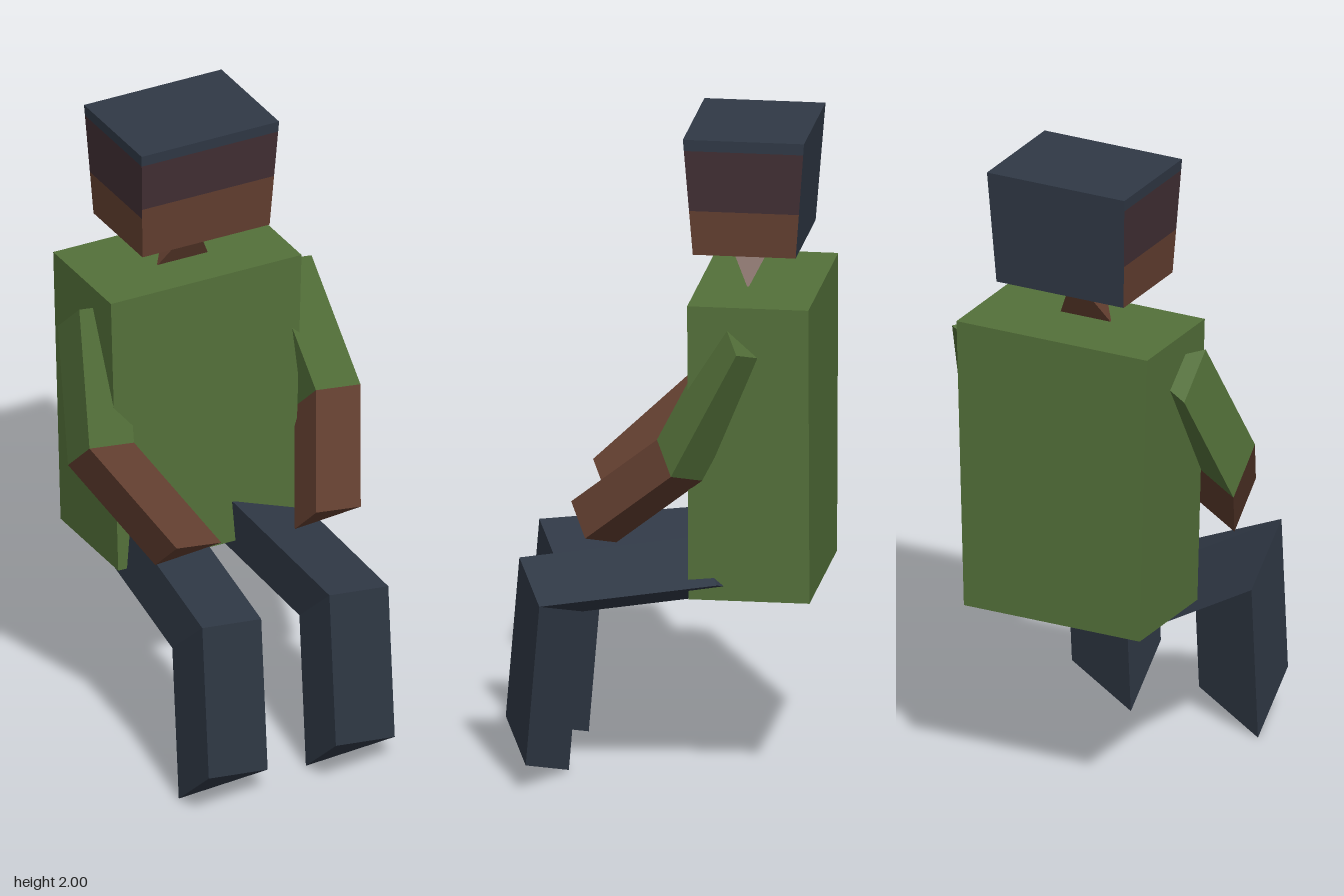
import * as THREE from 'three';
import { ConvexGeometry } from 'three/addons/geometries/ConvexGeometry.js';

const material = (name, color) => {
  const m = new THREE.MeshStandardMaterial({ color });
  m.name = name;
  return m;
};

export function createModel() {
  const green = material('green shirt', 0x54713a);
  const skin = material('brown skin', 0x633f30);
  const mask = material('dark brown band', 0x422f34);
  const navy = material('navy cloth', 0x303946);

  const model = new THREE.Group();
  model.name = 'seatedFigure';
  const V = (x, y, z) => new THREE.Vector3(x, y, z);

  // Flat-faced solid spanning a few corner points
  function solid(name, points, mat, parent = model) {
    const mesh = new THREE.Mesh(new ConvexGeometry(points), mat);
    mesh.name = name;
    parent.add(mesh);
  }

  // Slanted three-sided section at a joint; x is its upright edge
  const section = ([x, y, z], w, h, d) => [V(x, y + h, z + d), V(x + w, y, z), V(x, y - h, z - d)];

  // Two three-sided prisms meeting at the middle joint
  function limb(name, joints, size, parts) {
    const group = new THREE.Group();
    group.name = name;
    const rings = joints.map(j => section(j, ...size));
    parts.forEach(([part, mat], i) => solid(part, [...rings[i], ...rings[i + 1]], mat, group));
    model.add(group);
  }

  // Torso, slightly narrower at the waist
  const torso = [];
  for (const [y, x0, x1] of [[0.595, -0.33, 0.265], [1.51, -0.355, 0.29]])
    for (const x of [x0, x1]) for (const z of [-0.47, -0.105]) torso.push(V(x, y, z));
  solid('torso', torso, green);

  // Neck, a wedge twisted between two crossed edges
  solid('neck', [V(-0.12, 1.505, -0.255), V(0.054, 1.505, -0.255),
    V(-0.033, 1.67, -0.17), V(-0.033, 1.67, -0.34)], skin);

  // Arms
  const arm = [['sleeve', green], ['forearm', skin]];
  const armSize = [0.187, 0.061, 0.068];
  limb('leftArm', [[0.225, 1.397, -0.27], [0.29, 1.032, -0.082], [0.142, 0.789, 0.197]], armSize, arm);
  limb('rightArm', [[-0.41, 1.397, -0.27], [-0.476, 1.032, -0.082], [-0.33, 0.789, 0.197]], armSize, arm);

  // Legs
  const leg = [['thigh', navy], ['shin', navy]];
  const legSize = [0.25, 0.08, 0.095];
  limb('leftLeg', [[0.055, 0.652, -0.197], [0.1, 0.578, 0.332], [0.1, 0.085, 0.373]], legSize, leg);
  limb('rightLeg', [[-0.29, 0.652, -0.197], [-0.33, 0.578, 0.332], [-0.33, 0.085, 0.373]], legSize, leg);

  // Head, a box widening upwards, made of coloured faces
  const head = new THREE.Group();
  head.name = 'head';
  model.add(head);
  const low = 1.64, high = 2;
  // Corners in order: front right, front left, back left, back right
  function corner(i, y) {
    const t = (y - low) / (high - low);
    const hx = 0.215 + 0.0175 * t, hz = 0.155 + 0.0275 * t;
    const k = i % 4;
    return V(-0.032 + (k === 1 || k === 2 ? hx : -hx), y, -0.262 + (k < 2 ? hz : -hz));
  }
  function face(name, [a, b, c, d], mat) {
    const geo = new THREE.BufferGeometry().setFromPoints([a, b, c, a, c, d]);
    geo.computeVertexNormals();
    const mesh = new THREE.Mesh(geo, mat);
    mesh.name = name;
    head.add(mesh);
  }
  ['front', 'left', 'back', 'right'].forEach((side, i) => {
    const chin = side === 'front' ? 1.81 : 1.777;
    const bands = side === 'back'
      ? [['Hair', low, high, navy]]
      : [['Jaw', low, chin, skin], ['Band', chin, 1.965, mask], ['Hair', 1.965, high, navy]];
    for (const [band, y0, y1, mat] of bands)
      face(side + band, [corner(i, y0), corner(i + 1, y0), corner(i + 1, y1), corner(i, y1)], mat);
  });
  face('crown', [0, 1, 2, 3].map(i => corner(i, high)), navy);
  face('chin', [3, 2, 1, 0].map(i => corner(i, low)), skin);

  return model;
}
